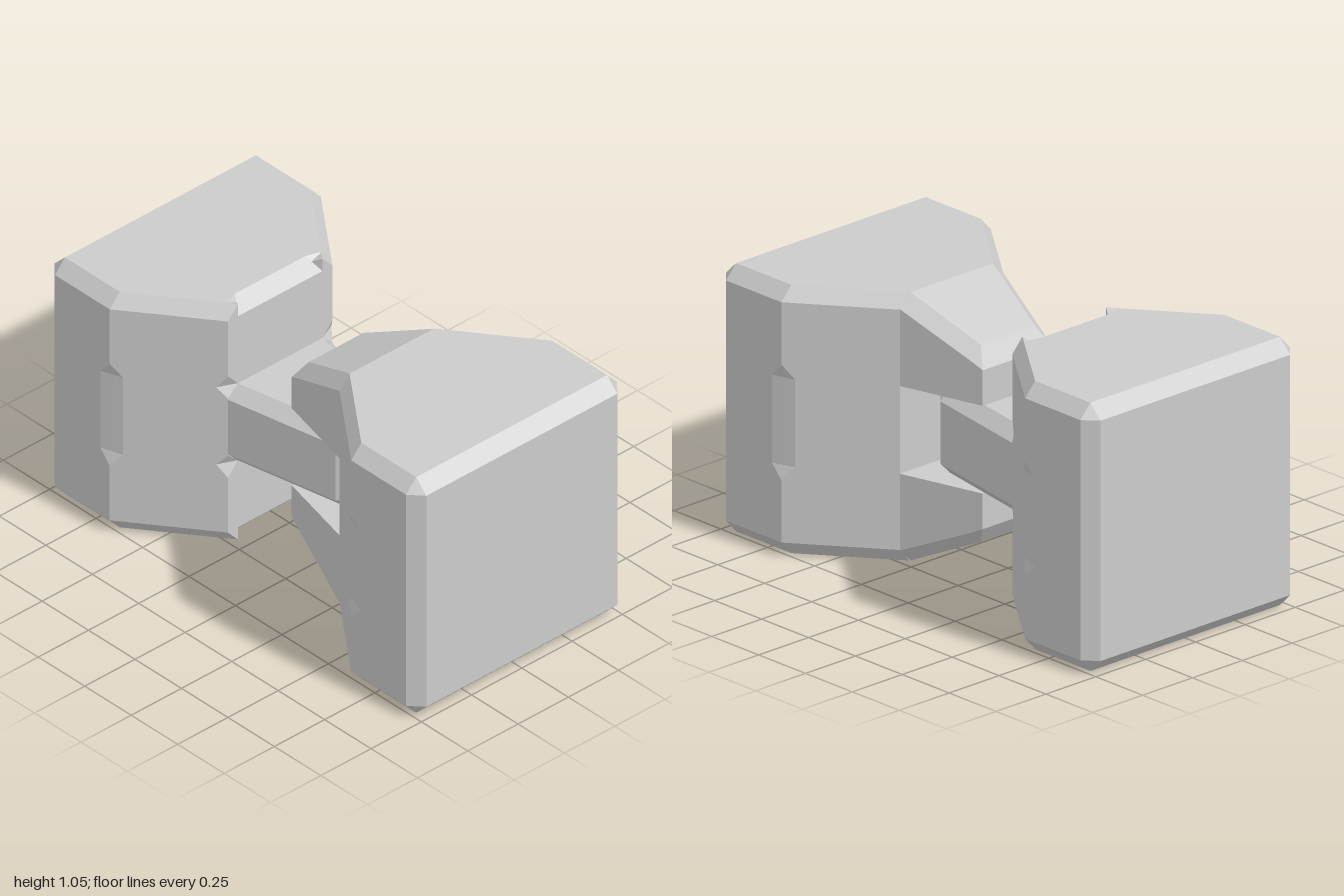
import * as THREE from 'three';

const H = 1.055;   // full height
const C = 0.055;   // chamfer size

// Skin a row of cross-sections (ordered by rising z) and cap both ends.
// Each quad is split along its outward-bulging diagonal.
function loft(name, sections, material) {
  const pos = [];
  const rings = sections.map(({ z, pts }) => pts.map(([x, y]) => new THREE.Vector3(x, y, z)));
  const tri = (a, b, c) => {
    const n = b.clone().sub(a).cross(c.clone().sub(a));
    if (n.length() > 1e-8) for (const p of [a, b, c]) pos.push(p.x, p.y, p.z);
  };
  for (let k = 0; k < rings.length - 1; k++) {
    const r = rings[k], s = rings[k + 1];
    for (let i = 0; i < r.length; i++) {
      const j = (i + 1) % r.length;
      const a = r[i], b = r[j], c = s[j], d = s[i];
      const bulge = b.clone().sub(a).cross(c.clone().sub(a)).dot(d.clone().sub(a));
      if (bulge <= 0) { tri(a, b, c); tri(a, c, d); }
      else { tri(a, b, d); tri(b, c, d); }
    }
  }
  const cap = (ring, front) => {
    const flat = ring.map((p) => new THREE.Vector2(p.x, p.y));
    for (const [i, j, k] of THREE.ShapeUtils.triangulateShape(flat, [])) {
      if (front) tri(ring[i], ring[j], ring[k]);
      else tri(ring[i], ring[k], ring[j]);
    }
  };
  cap(rings[0], false);
  cap(rings[rings.length - 1], true);
  const geo = new THREE.BufferGeometry();
  geo.setAttribute('position', new THREE.Float32BufferAttribute(pos, 3));
  geo.computeVertexNormals();
  const mesh = new THREE.Mesh(geo, material);
  mesh.name = name;
  return mesh;
}

// Mirror a right-hand half outline (bottom to top) into a closed ring.
const mirrored = (half) => [...half, ...half.map(([x, y]) => [-x, y]).reverse()];

// Chamfered rectangle with separate bottom and top chamfers.
const box = (z, w, y0, y1, cb, ct) => ({
  z, pts: mirrored([[w - cb, y0], [w, y0 + cb], [w, y1 - ct], [w - ct, y1]]),
});

// Half-width of a block, narrowing towards the joint in the middle.
function blockWidth(z) {
  const d = Math.abs(z);
  return d >= 0.65 ? 0.525 : 0.26 + (0.265 * (d - 0.3)) / 0.35;
}

// Block section: rows on the side wall can be pulled in to form notches,
// and the middle of the top and bottom can be dropped for the edge bevel.
function block(z, { pulled = [], inset = 0, t = 0.175, drop = 0 } = {}) {
  const end = Math.abs(z) === 1;
  const w = end ? 0.475 : blockWidth(z);
  const inner = end ? w : w - 0.05;
  const y0 = end ? C : 0, y1 = H - y0;
  const rows = [0.3, 0.355, 0.4, 0.655, 0.7, 0.755];
  return {
    z,
    pts: mirrored([
      [t, y0 + drop], [inner, y0], [w, C],
      ...rows.map((y, i) => [pulled.includes(i) ? w - inset : w, y]),
      [w, H - C], [inner, y1], [t, y1 - drop],
    ]),
  };
}

const cornerNotch = { pulled: [1, 2, 3, 4], inset: 0.0165 };

export function createModel() {
  const group = new THREE.Group();
  group.name = 'interlockingConnector';
  const mat = new THREE.MeshStandardMaterial({ color: 0xcccccc, flatShading: true });

  // Rear block, with notched corners and a bevelled edge facing the joint
  group.add(loft('rearBlock', [
    block(-1), block(-0.945), block(-0.7), block(-0.65, cornerNotch), block(-0.61),
    block(-0.355), block(-0.335),
    block(-0.3, { pulled: [1, 4], inset: 0.05, t: 0.21, drop: C }),
  ].map((s) => {
    // the bevel runs straight between its two ends
    if (s.z !== -0.335) return s;
    const f = 0.02 / 0.055, n = s.pts.length, x = 0.175 + 0.035 * f, d = C * f;
    s.pts[0] = [x, d];
    s.pts[n / 2 - 1] = [x, H - d];
    s.pts[n / 2] = [-x, H - d];
    s.pts[n - 1] = [-x, d];
    return s;
  }), mat));

  // Tongue reaching forward from the rear block
  group.add(loft('tongue', [
    box(-0.3, 0.26, 0.355, 0.7, 0.05, 0.05),
    box(0.18, 0.17, 0.355, 0.7, 0.05, 0.05),
    box(0.23, 0.12, 0.405, 0.65, 0, 0),
  ], mat));

  // Front block
  group.add(loft('frontBlock', [
    block(0.3), block(0.61), block(0.65, cornerNotch), block(0.7), block(0.945), block(1),
  ], mat));

  // Two jaws gripping the tongue, tapering towards the rear
  group.add(loft('upperJaw', [
    box(-0.05, 0.174, 0.7, 0.84, 0, 0),
    box(0, 0.186, 0.7, 0.915, 0, 0.05),
    box(0.3, 0.26, 0.7, H, 0, 0.053),
  ], mat));
  group.add(loft('lowerJaw', [
    box(-0.05, 0.174, H - 0.84, 0.355, 0, 0),
    box(0, 0.186, H - 0.915, 0.355, 0.05, 0),
    box(0.3, 0.26, 0, 0.355, 0.053, 0),
  ], mat));

  return group;
}
